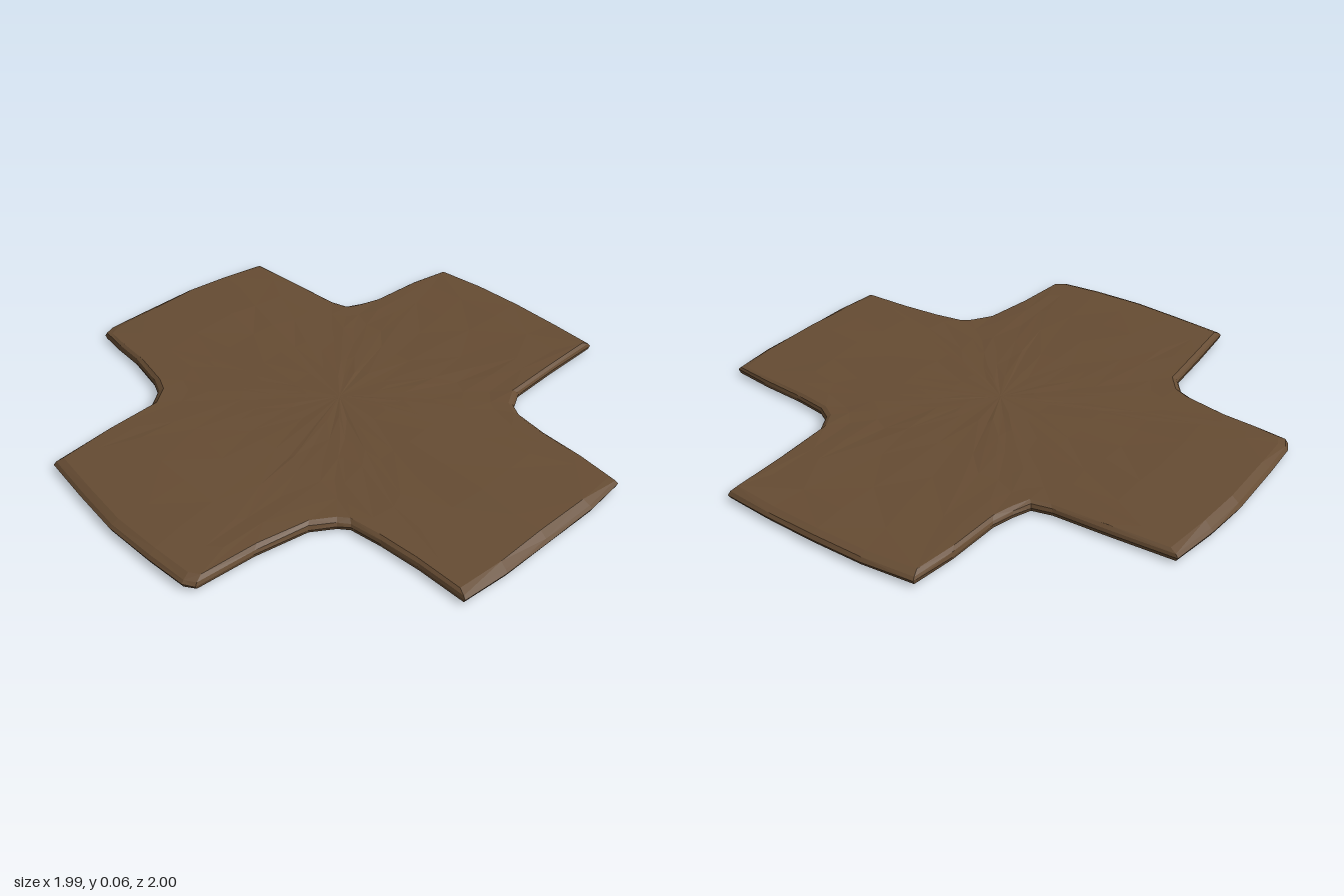
import * as THREE from 'three';

// Plan outline (x, z), running from the back-left corner round by the right side
const OUTLINE = [
  [-0.39, -0.96], [-0.35, -0.98], [-0.2, -0.99], [0.05, -1], [0.22, -0.99], [0.4, -0.965],
  [0.42, -0.74], [0.435, -0.53], [0.455, -0.46], [0.52, -0.435], [0.6, -0.415], [0.8, -0.41], [0.96, -0.39],
  [0.985, -0.2], [0.993, 0], [0.993, 0.2], [0.985, 0.38],
  [0.75, 0.39], [0.53, 0.405], [0.46, 0.445], [0.43, 0.5], [0.415, 0.63], [0.41, 0.8], [0.395, 0.965],
  [0.23, 0.985], [0, 0.99], [-0.2, 0.995], [-0.38, 0.985],
  [-0.385, 0.8], [-0.4, 0.64], [-0.42, 0.52], [-0.45, 0.485], [-0.53, 0.435], [-0.73, 0.405], [-0.95, 0.395],
  [-0.975, 0.36], [-0.99, 0.2], [-1, 0], [-0.985, -0.2], [-0.965, -0.4],
  [-0.75, -0.425], [-0.53, -0.445], [-0.46, -0.5], [-0.435, -0.56], [-0.405, -0.73], [-0.4, -0.86],
];

// Repeatable small roughness in the range -1 to 1
const rough = (a, b) => {
  const s = Math.sin(a * 127.1 + b * 311.7) * 43758.5453;
  return (s - Math.floor(s)) * 2 - 1;
};
const bump = (d, w) => Math.exp(-(d * d) / (w * w));

// Gently worn upper surface: raised middle, left and back arms, a dip along the right arm's root
const topHeight = (x, z) =>
  0.043 + 0.013 * bump(x - 0.05, 0.28) + 0.012 * bump(x + 0.68, 0.25) * bump(z, 0.4)
  + 0.004 * bump(z + 0.7, 0.2) * bump(x, 0.3) - 0.005 * bump(x - 0.42, 0.08)
  - 0.004 * bump(Math.abs(z) - 1, 0.15);

// Cross-section rings from the underside, round the rim, to the middle: [scale, height or null for worn top]
const RINGS = [
  [0.3, 0.004], [0.7, 0.003], [0.97, 0], [0.993, 0.008], [1, 0.022], [0.99, 0.034],
  [0.965, null], [0.85, null], [0.7, null], [0.53, null], [0.36, null], [0.18, null],
];

function slabGeometry() {
  const n = OUTLINE.length;
  const pos = [0, 0.004, 0];
  const index = [];
  RINGS.forEach(([s, h], r) => {
    OUTLINE.forEach(([ox, oz], i) => {
      const j = h === null && r > 6 ? 0.016 * s : 0;
      const x = ox * s + rough(i, r) * j;
      const z = oz * s + rough(i + 50, r) * j;
      const y = h === null
        ? topHeight(x, z) + rough(i + 9, r) * 0.0015
        : h + (r > 3 ? rough(i, r + 30) * 0.002 : 0);
      pos.push(x, y, z);
    });
  });
  const last = 1 + RINGS.length * n;
  pos.push(0, topHeight(0, 0), 0);
  for (let i = 0; i < n; i++) {
    const k = (i + 1) % n;
    index.push(0, 1 + i, 1 + k);
    for (let r = 0; r < RINGS.length - 1; r++) {
      const a = 1 + r * n + i, b = 1 + r * n + k;
      const c = a + n, d = b + n;
      if ((i + r) % 2) index.push(a, c, b, b, c, d);
      else index.push(a, c, d, a, d, b);
    }
    const t = last - n;
    index.push(last, t + k, t + i);
  }
  const indexed = new THREE.BufferGeometry();
  indexed.setAttribute('position', new THREE.Float32BufferAttribute(pos, 3));
  indexed.setIndex(index);
  const flat = indexed.toNonIndexed();
  flat.computeVertexNormals();
  return flat;
}

export function createModel() {
  const group = new THREE.Group();
  group.name = 'crossSlab';
  const brown = new THREE.MeshStandardMaterial({ color: 0x664c33 });
  brown.name = 'earthBrown';

  // Single worn cross-shaped slab
  const slab = new THREE.Mesh(slabGeometry(), brown);
  slab.name = 'slab';
  group.add(slab);
  return group;
}
